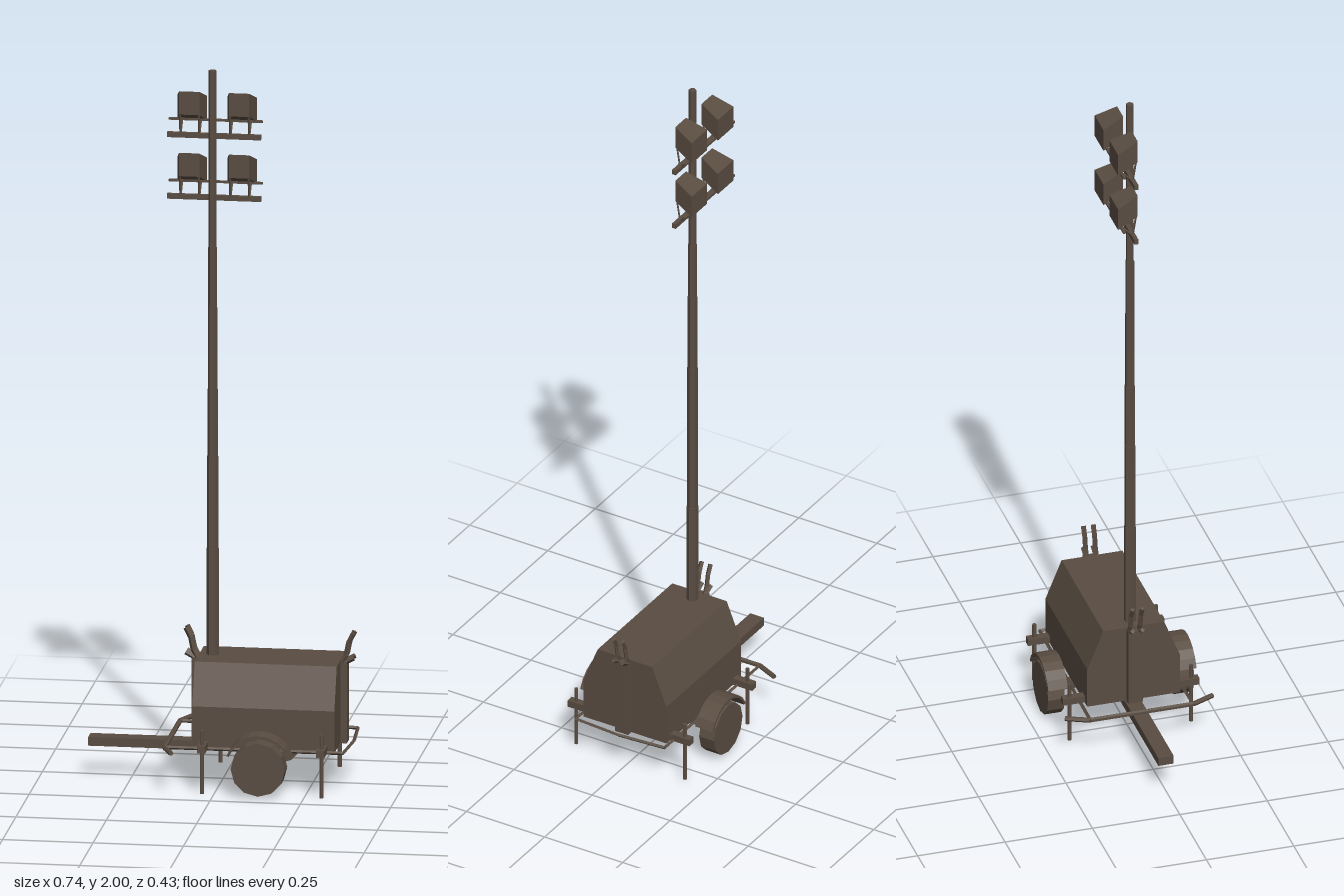
import * as THREE from 'three';

export function createModel() {
  const model = new THREE.Group();
  model.name = 'lightTower';
  const paint = new THREE.MeshStandardMaterial({ color: 0x5a4d42 });
  paint.name = 'brownPaint';
  const V = (x, y, z) => new THREE.Vector3(x, y, z);

  // Adds a mesh with crisp facets
  const add = (name, geo, parent = model) => {
    const flat = geo.index ? geo.toNonIndexed() : geo;
    flat.computeVertexNormals();
    const mesh = new THREE.Mesh(flat, paint);
    mesh.name = name;
    parent.add(mesh);
    return mesh;
  };
  // Box given by its lower and upper limits
  const box = (name, x0, x1, y0, y1, z0, z1, parent) =>
    add(name, new THREE.BoxGeometry(x1 - x0, y1 - y0, z1 - z0)
      .translate((x0 + x1) / 2, (y0 + y1) / 2, (z0 + z1) / 2), parent);
  // Straight bar between two points
  const rod = (name, a, b, r, sides = 6, parent) => {
    const d = b.clone().sub(a);
    const mesh = add(name, new THREE.CylinderGeometry(r, r, d.length(), sides), parent);
    mesh.position.copy(a).add(b).multiplyScalar(0.5);
    mesh.quaternion.setFromUnitVectors(V(0, 1, 0), d.normalize());
    return mesh;
  };
  const path = (name, pts, r, sides) => {
    const g = new THREE.Group();
    g.name = name;
    model.add(g);
    for (let i = 1; i < pts.length; i++) rod(name + 'Bar', pts[i - 1], pts[i], r, sides, g);
  };

  // Generator housing: cross-section in z and y, run along x
  const section = new THREE.Shape([[-0.133, 0.117], [0.133, 0.117], [0.133, 0.235],
    [0.087, 0.35], [-0.087, 0.35], [-0.133, 0.235]].map(p => new THREE.Vector2(...p)));
  add('housing', new THREE.ExtrudeGeometry(section, { depth: 0.393, bevelEnabled: false })
    .rotateY(Math.PI / 2).translate(-0.066, 0, 0));

  // End posts with twin cradle hooks
  for (const [edge, s] of [[-0.066, -1], [0.327, 1]]) {
    const outer = edge + s * 0.018;
    box('endPost', Math.min(edge, outer), Math.max(edge, outer), 0.117, 0.345, -0.021, 0.021);
    for (const z of [-0.014, 0.014]) {
      path('cradleHook', [V(edge, 0.335, z), V(edge + s * 0.015, 0.365, z),
        V(edge + s * 0.022, 0.4, z), V(edge + s * 0.035, 0.426, z)], 0.007, 4);
      rod('cradlePeg', V(edge + s * 0.005, 0.34, z), V(edge + s * 0.036, 0.357, z), 0.007, 4);
    }
  }

  // Drawbar and axle
  box('drawbar', -0.37, -0.01, 0.084, 0.109, -0.022, 0.022);
  box('axle', 0.114, 0.14, 0.07, 0.092, -0.165, 0.165);

  // Perimeter rail and swept bumper
  path('perimeterRail', [V(-0.14, 0.12, 0.147), V(0.352, 0.12, 0.142), V(0.362, 0.12, 0),
    V(0.352, 0.12, -0.142), V(-0.14, 0.12, -0.147)], 0.005, 4);
  path('bumper', [V(-0.113, 0.12, 0.211), V(-0.141, 0.12, 0.148), V(-0.141, 0.12, -0.148),
    V(-0.113, 0.12, -0.211)], 0.007, 6);

  // Arched mudguard outline, used on both sides
  const guard = new THREE.Shape();
  for (let i = 0; i <= 8; i++) {
    const a = Math.PI * (0.12 + 0.76 * i / 8);
    guard[i ? 'lineTo' : 'moveTo'](0.094 * Math.cos(a), 0.094 * Math.sin(a));
  }
  for (let i = 8; i >= 0; i--) {
    const a = Math.PI * (0.12 + 0.76 * i / 8);
    guard.lineTo(0.087 * Math.cos(a), 0.087 * Math.sin(a));
  }

  for (const s of [-1, 1]) {
    // Wheels and mudguards
    add('wheel', new THREE.CylinderGeometry(0.075, 0.075, 0.048, 12)
      .rotateX(Math.PI / 2)).position.set(0.126, 0.081, s * 0.185);
    add('mudguard', new THREE.ExtrudeGeometry(guard, { depth: 0.056, bevelEnabled: false })
      .translate(0.127, 0.084, s * 0.184 - 0.028));
    // Stabiliser arms and legs
    for (const x of [-0.033, 0.297]) {
      const z = s * 0.163;
      box('stabiliserArm', x - 0.011, x + 0.011, 0.118, 0.138, z - 0.032, z + 0.032);
      rod('stabiliserLeg', V(x, 0, s * 0.174), V(x, 0.178, s * 0.174), 0.006, 6);
    }
  }

  // Telescopic hexagonal mast
  const mastX = -0.029;
  const stages = [[0.34, 0.65, 0.017], [0.65, 0.91, 0.0155], [0.91, 1.1, 0.0145],
    [1.1, 1.33, 0.0135], [1.33, 1.5, 0.0125], [1.5, 2, 0.011]];
  for (const [y0, y1, r] of stages) {
    add('mastStage', new THREE.CylinderGeometry(r, r, y1 - y0, 6).rotateY(Math.PI / 6))
      .position.set(mastX, (y0 + y1) / 2, 0);
  }

  // Two rows of floodlights
  for (const y of [1.81, 1.636]) {
    const row = new THREE.Group();
    row.name = 'floodlightRow';
    row.position.y = y;
    model.add(row);
    box('crossbar', -0.158, 0.102, -0.007, 0.007, -0.026, -0.014, row);
    box('lampRail', -0.158, 0.102, 0.033, 0.039, -0.058, -0.05, row);
    box('mastBracket', mastX - 0.009, mastX + 0.009, -0.007, 0.007, -0.02, 0, row);
    for (const x of [-0.095, 0.043]) {
      // Housing widens and drops toward its lens
      const geo = new THREE.BoxGeometry(2, 1, 1);
      const p = geo.attributes.position;
      for (let i = 0; i < p.count; i++) {
        const lens = p.getZ(i) < 0;
        const top = p.getY(i) > 0;
        p.setXYZ(i, x + p.getX(i) * (lens ? 0.041 : 0.028),
          lens ? (top ? 0.1 : 0.034) : (top ? 0.126 : 0.06), lens ? -0.066 : -0.006);
      }
      add('floodlight', geo, row);
      for (const dx of [-0.026, 0.026]) {
        rod('lampStrut', V(x + dx, 0, -0.02), V(x + dx, 0.036, -0.054), 0.003, 4, row);
        rod('lampStrut', V(x + dx, 0, -0.02), V(x + dx, 0.062, -0.01), 0.003, 4, row);
      }
    }
  }
  return model;
}
